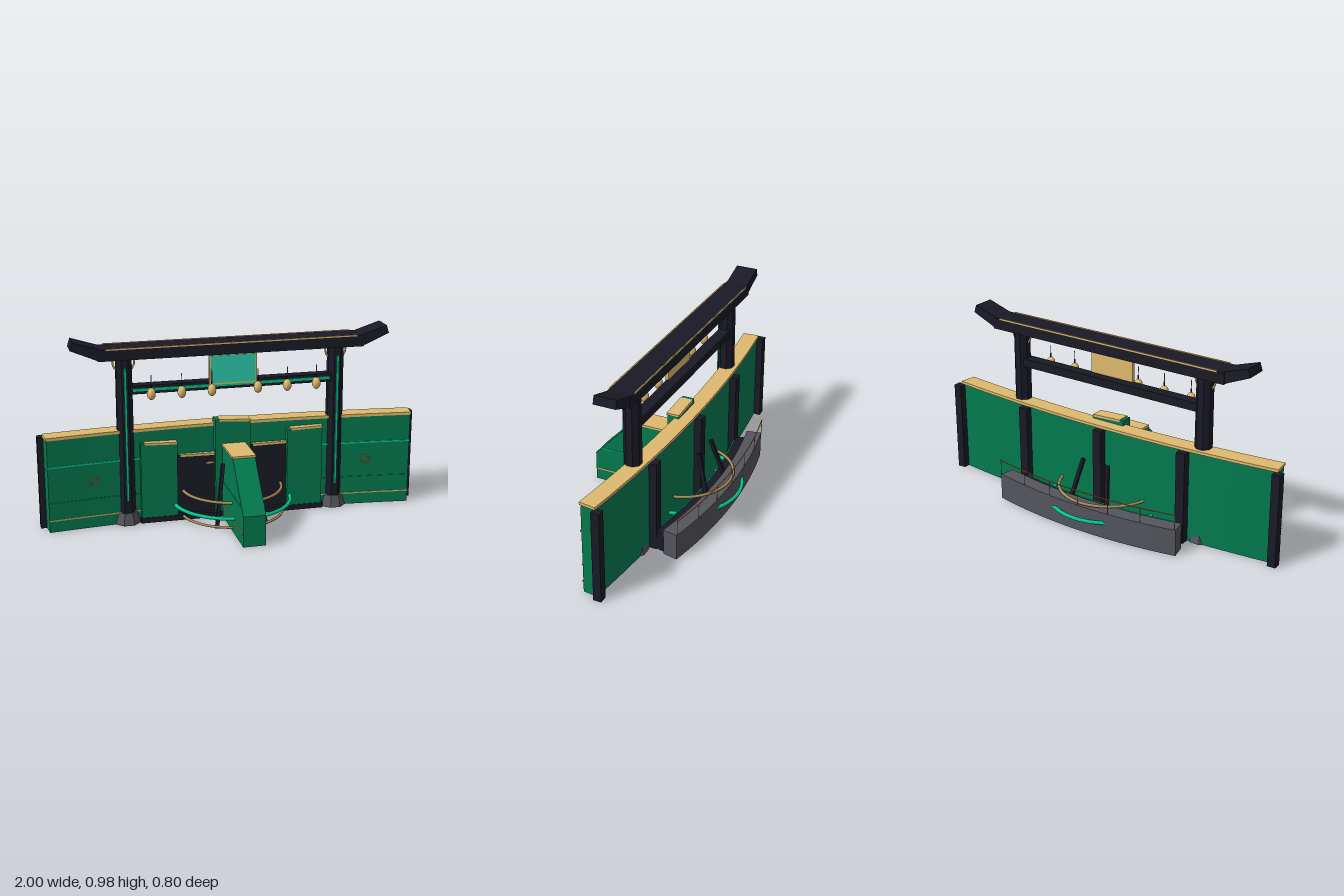
import * as THREE from 'three';

const mat = (name, color) => {
  const m = new THREE.MeshStandardMaterial({ color });
  m.name = name;
  return m;
};

export function createModel() {
  const green = mat('jade green', 0x027a50);
  const dark = mat('dark lacquer', 0x1a1a27);
  const gold = mat('gold', 0xdfba6e);
  const teal = mat('bright teal', 0x00c88c);
  const aqua = mat('sign aqua', 0x2ed3b4);
  const grey = mat('stone grey', 0x54555d);
  const bronze = mat('bronze', 0xa88a5a);
  const copper = mat('copper', 0xd27a38);

  const model = new THREE.Group();
  model.name = 'gatewayStation';

  const add = (name, geo, material, x = 0, y = 0, z = 0) => {
    const m = new THREE.Mesh(geo, material);
    m.name = name;
    m.position.set(x, y, z);
    model.add(m);
    return m;
  };
  // box from its extents
  const box = (name, material, x0, x1, y0, y1, z0, z1) =>
    add(name, new THREE.BoxGeometry(x1 - x0, y1 - y0, z1 - z0), material,
      (x0 + x1) / 2, (y0 + y1) / 2, (z0 + z1) / 2);
  const shape = pts => new THREE.Shape(pts.map(p => new THREE.Vector2(p[0], p[1])));
  const extrude = (s, depth) =>
    new THREE.ExtrudeGeometry(s, { depth, bevelEnabled: false, curveSegments: 20 });
  // upright slab following an arc that bulges to the back; zMid is its back face at x = 0
  const arcSlab = (name, material, R, thick, halfX, y0, y1, zMid) => {
    const a = Math.asin(halfX / R), cy = -zMid - R, s = new THREE.Shape();
    s.absarc(0, cy, R, Math.PI / 2 - a, Math.PI / 2 + a, false);
    s.absarc(0, cy, R - thick, Math.PI / 2 + a, Math.PI / 2 - a, true);
    const g = extrude(s, y1 - y0);
    g.rotateX(-Math.PI / 2);
    return add(name, g, material, 0, y0, 0);
  };
  // eight-sided flat-faced column
  const octagon = (r0, r1, h) => {
    const g = new THREE.CylinderGeometry(r0, r1, h, 8).toNonIndexed();
    g.rotateY(Math.PI / 8);
    g.computeVertexNormals();
    return g;
  };
  // square rod between two points
  const rod = (name, material, a, b, w) => {
    const d = b.clone().sub(a);
    const m = add(name, new THREE.BoxGeometry(w, d.length(), w), material);
    m.position.copy(a).add(b).multiplyScalar(0.5);
    m.quaternion.setFromUnitVectors(new THREE.Vector3(0, 1, 0), d.normalize());
  };
  const V = (x, y, z) => new THREE.Vector3(x, y, z);

  // Curved wall with cap and inlaid lines
  const WR = 7.7;
  const wallZ = x => -0.118 + WR - Math.sqrt(WR * WR - x * x);
  arcSlab('wall', green, WR, 0.077, 0.97, 0, 0.488, -0.156);
  arcSlab('wallCap', gold, WR, 0.088, 0.975, 0.488, 0.503, -0.162);
  [[0.345, teal, 0.008], [0.155, green, 0.003], [0.062, gold, 0.006]].forEach(([y, m, h]) =>
    arcSlab('wallLine', m, WR, 0.004, 0.965, y - h / 2, y + h / 2, -0.079));

  // Ribs on the back of the wall
  for (const x of [-0.485, 0, 0.485]) {
    const z = wallZ(x) - 0.035;
    box('wallRib', dark, x - 0.025, x + 0.025, 0, 0.487, z - 0.042, z);
  }

  for (const s of [-1, 1]) {
    // Wall end post and ring emblem
    box('wallEndPost', dark, s * 0.978 - 0.022, s * 0.978 + 0.022, 0, 0.487, -0.132, -0.09);
    const ring = add('wallRing', new THREE.TorusGeometry(0.021, 0.0035, 6, 20), copper,
      s * 0.725, 0.25, wallZ(0.725) + 0.041);
    ring.rotation.y = -s * 0.09;

    // Gate post, foot, inlay and collar ring
    const px = s * 0.555;
    add('gatePost', octagon(0.043, 0.046, 0.82), dark, px, 0.47, -0.08);
    add('postFoot', octagon(0.054, 0.07, 0.062), grey, px, 0.031, -0.08);
    box('postInlay', teal, px - 0.006, px + 0.006, 0.13, 0.83, -0.038, -0.03);
    add('postRing', new THREE.TorusGeometry(0.055, 0.005, 8, 28), gold, px, 0.855, -0.08);

    // Upswept roof end
    const end = [[0.64, 0.89], [0.69, 0.88], [0.825, 0.938], [0.812, 0.979], [0.65, 0.927]];
    add('roofEnd', extrude(shape(end.map(p => [s * p[0], p[1]])), 0.115), dark, 0, 0, -0.1375);

    // Gold trim along the roof beam
    box('roofTrim', gold, -0.65, 0.65, 0.931, 0.939, s * 0.062 - 0.083, s * 0.062 - 0.077);

    // Sloping struts, front and back
    for (const t of [-1, 1])
      rod('strut', dark, V(s * 0.13, 0.006, -0.08 + t * 0.22), V(s * 0.075, 0.32, -0.08 + t * 0.125), 0.018);
  }

  // Roof beam and tie beam
  box('roofBeam', dark, -0.69, 0.69, 0.876, 0.935, -0.142, -0.018);
  box('tieBeam', dark, -0.53, 0.53, 0.69, 0.733, -0.11, -0.05);
  box('tieBeamInlay', teal, -0.515, 0.515, 0.705, 0.719, -0.051, -0.045);

  // Hanging sign board
  box('signBoard', gold, -0.125, 0.125, 0.715, 0.877, -0.06, -0.042);
  box('signFace', aqua, -0.115, 0.115, 0.724, 0.868, -0.043, -0.038);

  // Lanterns
  for (const x of [-0.43, -0.275, -0.12, 0.12, 0.275, 0.43]) {
    const body = new THREE.SphereGeometry(0.022, 16, 12);
    body.scale(1, 1.42, 1);
    add('lantern', body, gold, x, 0.701, -0.002);
    add('lanternStem', new THREE.CylinderGeometry(0.004, 0.004, 0.022, 8), dark, x, 0.74, -0.002);
    add('lanternCord', new THREE.CylinderGeometry(0.002, 0.002, 0.05, 6), bronze, x, 0.772, -0.002);
  }

  // Shallow stepped panels on the front of the wall, with sloping tops and gold caps
  const panel = (x0, x1, yl, yr, z1, material) => {
    add('frontPanel', extrude(shape([[x0, 0], [x1, 0], [x1, yr], [x0, yl]]), z1 + 0.1), material, 0, 0, -0.1);
    const cap = box('panelCap', gold, x0 + 0.02, x1, 0, 0.012, -0.1, z1 + 0.004);
    cap.position.y = (yl + yr) / 2;
    cap.rotation.z = Math.atan2(yr - yl, x1 - x0) * 0.6;
  };
  panel(-0.485, -0.295, 0.43, 0.418, -0.038, green);
  panel(0.29, 0.48, 0.447, 0.455, -0.038, green);
  panel(-0.095, 0.09, 0.53, 0.513, -0.036, green);
  panel(-0.295, -0.095, 0.345, 0.34, -0.06, dark);
  panel(0.09, 0.29, 0.372, 0.376, -0.06, dark);
  box('panelHandle', gold, -0.14, -0.1, 0.292, 0.299, -0.061, -0.053);
  box('plinth', dark, -0.49, 0.49, 0, 0.028, -0.1, -0.034);

  // Central fin with sloping nose
  const finGeo = extrude(shape([[0.1, 0], [-0.4, 0], [-0.4, 0.16], [-0.185, 0.39], [0.1, 0.39]]), 0.116);
  finGeo.translate(0, 0, -0.058);
  finGeo.rotateY(Math.PI / 2);
  add('centreFin', finGeo, green);
  box('finCap', gold, -0.062, 0.062, 0.389, 0.4, -0.05, 0.187);
  for (const s of [-1, 1]) {
    box('finLineUpper', teal, s * 0.059 - 0.002, s * 0.059 + 0.002, 0.194, 0.199, -0.02, 0.367);
    box('finLineLower', gold, s * 0.059 - 0.002, s * 0.059 + 0.002, 0.061, 0.069, -0.02, 0.39);
  }

  // Horizontal rings around the centre
  [[0.262, 0.15, 0.008, bronze], [0.31, 0.083, 0.01, teal], [0.27, 0.02, 0.007, bronze]].forEach(([r, y, t, m]) => {
    const g = new THREE.TorusGeometry(r, t, 8, 64);
    g.rotateX(Math.PI / 2);
    add('floorRing', g, m, 0, y, -0.083);
  });

  // Curved counter behind the wall, with a lower inner step
  arcSlab('counter', grey, 2.6, 0.08, 0.545, 0, 0.14, -0.36);
  arcSlab('counterStep', dark, 2.52, 0.06, 0.515, 0, 0.105, -0.28);
  arcSlab('counterInlay', teal, 2.521, 0.005, 0.51, 0.1, 0.108, -0.281);
  arcSlab('stepInlay', teal, 2.462, 0.005, 0.5, 0.1, 0.108, -0.222);

  // Thin rail along the counter
  arcSlab('counterRail', copper, 2.604, 0.004, 0.545, 0.22, 0.224, -0.364);
  for (let i = -3; i <= 3; i++) {
    const x = i * 0.18;
    const z = -0.362 + 2.6 - Math.sqrt(2.6 * 2.6 - x * x);
    box('railPost', copper, x - 0.0013, x + 0.0013, 0.138, 0.222, z - 0.0013, z + 0.0013);
  }

  return model;
}
